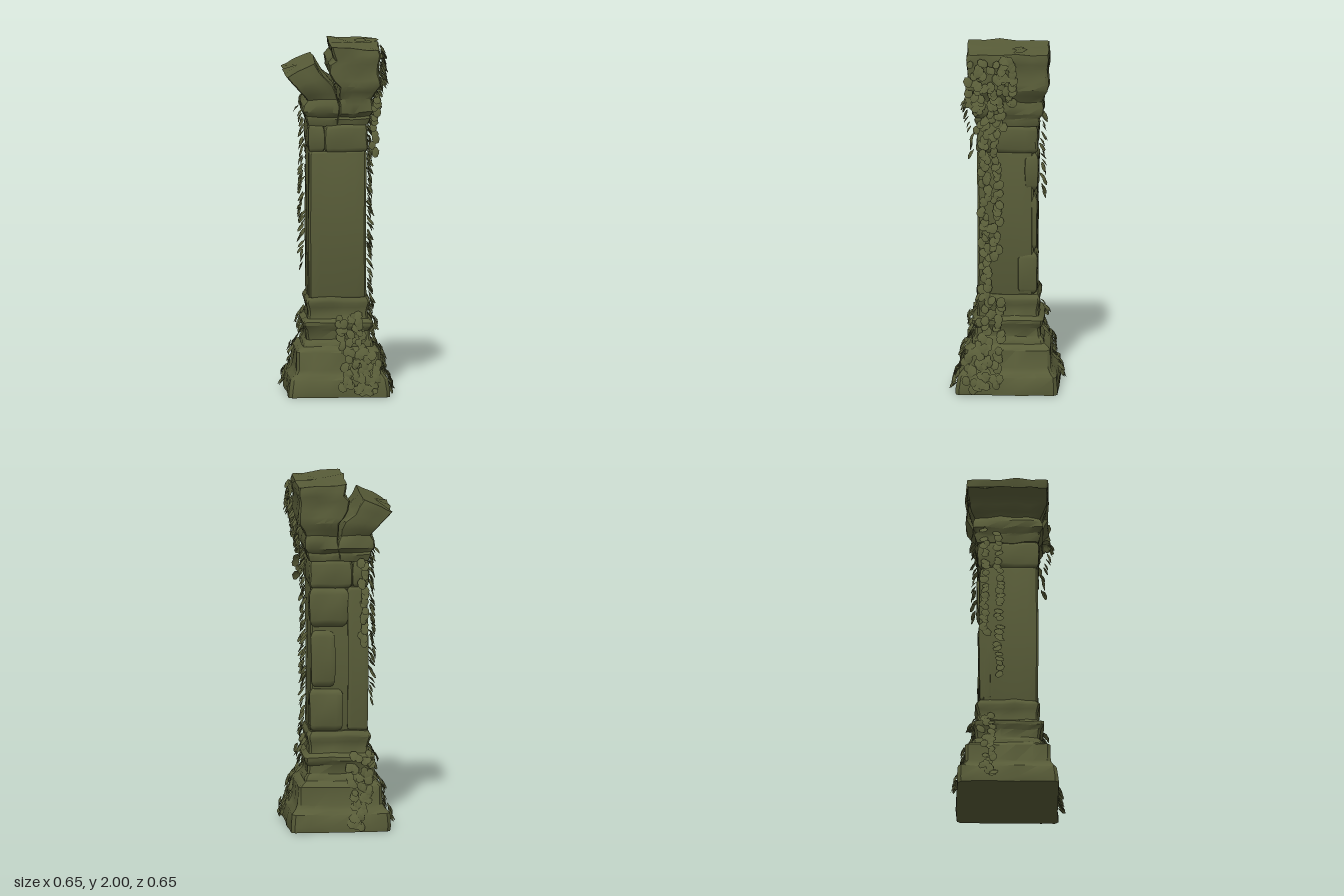
import * as THREE from 'three';
import { mergeGeometries, toCreasedNormals } from 'three/addons/utils/BufferGeometryUtils.js';

const mossyStone = new THREE.MeshStandardMaterial({ color: 0x585c38, side: THREE.DoubleSide });
mossyStone.name = 'mossy stone';

// half width of the pillar [half, y] from the ground to the top
const plinth = [[0.284, 0], [0.286, 0.03], [0.275, 0.1], [0.252, 0.125], [0.24, 0.15], [0.236, 0.25], [0.222, 0.265],
  [0.2, 0.28], [0.196, 0.3], [0.181, 0.32], [0.183, 0.37], [0.2, 0.395], [0.2, 0.415], [0.172, 0.435], [0.166, 0.47],
  [0.172, 0.5], [0.18, 0.525], [0.178, 0.54], [0.165, 0.56]];
const outline = [...plinth, [0.165, 1.54], [0.2, 1.64], [0.2, 1.7], [0.24, 1.78], [0.24, 2]];

let seed = 7;
const rand = () => (seed = (seed * 16807) % 2147483647) / 2147483647;
const lerp = THREE.MathUtils.lerp;

function halfAt(y) {
  const i = Math.max(1, outline.findIndex(p => p[1] >= y));
  const [a, b] = [outline[i - 1], outline[i]];
  return lerp(a[0], b[0], (y - a[1]) / (b[1] - a[1]));
}

// loft of worn rectangular rings: [xLeft, yLeft, xRight, yRight, zBack, zFront]
function stone(name, rings, wear = 0.004) {
  const ts = [0.035, 0.2, 0.4, 0.6, 0.8, 0.965], n = ts.length * 4, pos = [], index = [];
  const put = (r, u, v) => {
    const x = lerp(r[0], r[2], u), y = lerp(r[1], r[3], u), z = lerp(r[5], r[4], v);
    const w = wear * (Math.sin(x * 31 + y * 23 + z * 17) + Math.sin(x * 13 - y * 41 + z * 37)) * 0.5;
    pos.push(x + w * Math.sign(u - 0.5), y < 0.001 ? y : y + w, z - w * Math.sign(v - 0.5));
  };
  for (const r of rings) {
    for (const t of ts) put(r, t, 0);
    for (const t of ts) put(r, 1, t);
    for (const t of ts) put(r, 1 - t, 1);
    for (const t of ts) put(r, 0, 1 - t);
  }
  const last = rings.length - 1;
  put(rings[0], 0.5, 0.5);
  put(rings[last], 0.5, 0.5);
  const c = rings.length * n;
  for (let j = 0; j < n; j++) {
    const k = (j + 1) % n;
    for (let i = 0; i < last; i++) {
      const a = i * n + j, b = i * n + k;
      index.push(a, b, b + n, a, b + n, a + n);
    }
    index.push(c, k, j, c + 1, last * n + j, last * n + k);
  }
  const g = new THREE.BufferGeometry();
  g.setAttribute('position', new THREE.Float32BufferAttribute(pos, 3));
  g.setIndex(index);
  const mesh = new THREE.Mesh(toCreasedNormals(g, 0.6), mossyStone);
  mesh.name = name;
  return mesh;
}

// block with rounded upper and lower edges
function block(name, x0, x1, y0, y1, z0, z1, r = 0.012, wear = 0.004) {
  const ring = (d, y) => [x0 + d, y, x1 - d, y, z0 + d, z1 - d];
  return stone(name, [ring(r, y0), ring(r * 0.3, y0 + r * 0.7), ring(0, y0 + r * 1.6), ring(0, (y0 + y1) / 2),
    ring(0, y1 - r * 1.6), ring(r * 0.3, y1 - r * 0.7), ring(r, y1)], wear);
}

// one slightly domed leaf, tip hanging away from the wall
function leaf(x, y, z, yaw, size) {
  const g = new THREE.CircleGeometry(size, 7);
  g.attributes.position.setZ(0, size * 0.35);
  g.scale(1, 1.2, 1);
  g.rotateZ(rand() * 0.8 - 0.4);
  g.rotateX(-0.25 - rand() * 0.5);
  g.rotateY(yaw + rand() * 0.8 - 0.4);
  g.translate(x, y, z);
  g.computeVertexNormals();
  return g;
}

// ivy on one face; u runs along the face in x or z
const faces = {
  front: { yaw: 0, at: (u, d) => [u, d] }, back: { yaw: Math.PI, at: (u, d) => [u, -d] },
  right: { yaw: Math.PI / 2, at: (u, d) => [d, u] }, left: { yaw: -Math.PI / 2, at: (u, d) => [-d, u] },
};
function ivy(name, face, u0, u1, y0, y1, count, lift = 0.018) {
  const { yaw, at } = faces[face], leaves = [];
  for (let i = 0; i < count; i++) {
    const y = lerp(y0, y1, (i + rand() * 0.8) / count);
    const [x, z] = at(lerp(u0, u1, rand()), halfAt(y) + lift * (0.7 + rand() * 0.6));
    leaves.push(leaf(x, y, z, yaw, 0.019 + rand() * 0.009));
  }
  const mesh = new THREE.Mesh(mergeGeometries(leaves), mossyStone);
  mesh.name = name;
  return mesh;
}

export function createModel() {
  const model = new THREE.Group();
  model.name = 'ruined pillar';

  // moulded base
  model.add(stone('base', plinth.map(([h, y]) => [-h, y, h, y, -h - 0.005, h]), 0.005));

  // shaft core and the broken facing blocks at the back
  model.add(block('shaft', -0.165, 0.16, 0.55, 1.39, -0.148, 0.17, 0.008, 0.002));
  model.add(block('lowerBackBlock', -0.02, 0.166, 0.56, 0.8, -0.17, -0.06, 0.02));
  model.add(block('middleBackBlock', 0.02, 0.158, 0.81, 1.14, -0.168, -0.09, 0.025));
  model.add(block('upperBackBlock', -0.05, 0.167, 1.16, 1.385, -0.175, -0.1, 0.025));
  model.add(block('leftBackFacing', -0.165, -0.05, 0.56, 1.385, -0.163, -0.1, 0.012));

  // neck course in two stones
  model.add(block('neckLeft', -0.17, -0.075, 1.385, 1.545, -0.17, 0.172, 0.015));
  model.add(block('neckRight', -0.078, 0.17, 1.38, 1.545, -0.172, 0.175, 0.018));

  // split capital: [xLeft, yLeft, xRight, yRight, half depth]
  const chunk = (name, rows) =>
    model.add(stone(name, rows.map(([a, b, c, d, h]) => [a, b, c, d, -h, h - 0.005]), 0.007));
  chunk('capitalLeft', [[-0.17, 1.54, 0, 1.54, 0.175], [-0.178, 1.575, 0, 1.575, 0.185],
    [-0.18, 1.59, 0.005, 1.585, 0.18], [-0.203, 1.62, 0.01, 1.61, 0.2], [-0.203, 1.66, 0.01, 1.65, 0.2],
    [-0.182, 1.69, 0, 1.69, 0.19], [-0.2, 1.715, -0.005, 1.73, 0.205], [-0.232, 1.75, -0.025, 1.775, 0.222],
    [-0.238, 1.76, -0.08, 1.82, 0.222], [-0.268, 1.79, -0.103, 1.855, 0.226], [-0.298, 1.825, -0.13, 1.905, 0.226]]);
  chunk('capitalRight', [[-0.01, 1.54, 0.17, 1.54, 0.175], [-0.005, 1.575, 0.18, 1.575, 0.187],
    [0, 1.59, 0.18, 1.59, 0.182], [0.005, 1.61, 0.2, 1.62, 0.202], [0.008, 1.66, 0.2, 1.66, 0.202],
    [0, 1.69, 0.192, 1.69, 0.195], [0, 1.73, 0.212, 1.73, 0.215], [0.005, 1.765, 0.235, 1.765, 0.232],
    [-0.03, 1.8, 0.232, 1.8, 0.232], [-0.052, 1.84, 0.228, 1.84, 0.228], [-0.052, 1.89, 0.23, 1.89, 0.228],
    [-0.022, 1.92, 0.237, 1.92, 0.233], [-0.035, 1.955, 0.24, 1.945, 0.235], [-0.042, 1.993, 0.235, 1.975, 0.232]]);

  // ivy: base clumps, climbing strands and the overgrown corner of the capital
  [
    ['frontBaseIvy', 'front', 0, 0.14, 0.03, 0.46, 52],
    ['frontCornerIvy', 'front', 0.12, 0.23, 0.03, 0.26, 28],
    ['rightBaseIvy', 'right', 0.03, 0.16, 0.04, 0.55, 52],
    ['rightLowIvy', 'right', 0.1, 0.24, 0.03, 0.25, 20],
    ['backBaseIvy', 'back', -0.18, -0.05, 0.03, 0.44, 46],
    ['leftBaseIvy', 'left', -0.16, -0.08, 0.03, 0.46, 28],
    ['rightStrandA', 'right', 0.1, 0.15, 0.55, 1.55, 42],
    ['rightStrandB', 'right', 0.04, 0.085, 0.78, 1.62, 34],
    ['leftStrandA', 'left', -0.145, -0.12, 0.95, 1.6, 24, 0.03],
    ['leftStrandB', 'left', -0.065, -0.04, 0.7, 1.6, 30, 0.03],
    ['backStrand', 'back', -0.15, -0.12, 1.05, 1.55, 18, 0.03],
    ['capitalIvy', 'right', -0.04, 0.23, 1.66, 1.95, 75, 0.022],
    ['capitalLowIvy', 'right', 0.02, 0.18, 1.52, 1.7, 22, 0.025],
    ['hangingIvy', 'front', 0.19, 0.22, 1.36, 1.72, 12, 0.04],
  ].forEach(args => model.add(ivy(...args)));

  // loose leaves lying on top
  const topLeaves = [[0.14, -0.06], [0.18, -0.08], [0.21, -0.07]].map(([x, z]) => {
    const g = new THREE.CircleGeometry(0.035, 7);
    g.rotateX(-Math.PI / 2 + 0.15);
    g.translate(x, 1.99, z);
    return g;
  });
  const top = new THREE.Mesh(mergeGeometries(topLeaves), mossyStone);
  top.name = 'topLeaves';
  model.add(top);
  return model;
}
